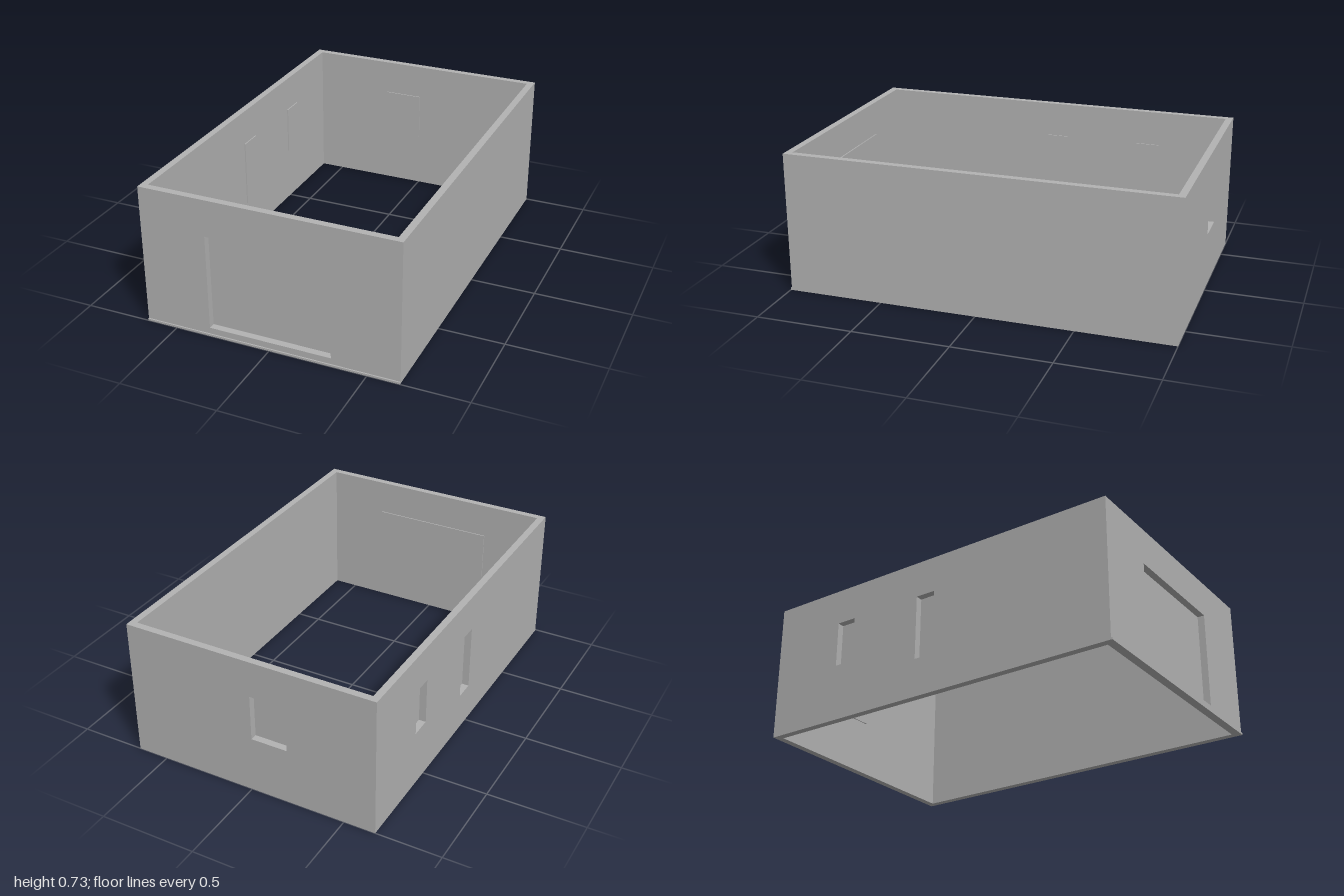
import * as THREE from 'three';

const W = 0.663, H = 0.73;          // half width, height
const BACK = -1, FRONT = 0.993;     // outer faces of the end walls
const T = 0.036, PANE = 0.006, LAP = 0.007;

export function createModel() {
  const model = new THREE.Group();
  model.name = 'walledEnclosure';
  const grey = new THREE.MeshStandardMaterial({ color: 0xb2b2b2 });
  grey.name = 'plain grey';

  // A wall lies in local x/y with its outer face towards local +z.
  // Each opening [x0, x1, y0, y1] is closed by a thin pane on the inner face.
  function wall(name, x0, x1, openings = []) {
    const group = new THREE.Group();
    group.name = name;
    const shape = new THREE.Shape([
      new THREE.Vector2(x0, 0), new THREE.Vector2(x1, 0),
      new THREE.Vector2(x1, H), new THREE.Vector2(x0, H),
    ]);
    for (const [a, b, c, d] of openings) {
      shape.holes.push(new THREE.Path([
        new THREE.Vector2(a, c), new THREE.Vector2(a, d),
        new THREE.Vector2(b, d), new THREE.Vector2(b, c),
      ]));
      const pane = new THREE.Mesh(
        new THREE.BoxGeometry(b - a + 2 * LAP, d - c + 2 * LAP, PANE), grey);
      pane.name = name + 'Pane';
      pane.position.set((a + b) / 2, (c + d) / 2, -T - PANE / 2);
      group.add(pane);
    }
    const geometry = new THREE.ExtrudeGeometry(shape, { depth: T, bevelEnabled: false });
    geometry.translate(0, 0, -T);
    const body = new THREE.Mesh(geometry, grey);
    body.name = name + 'Body';
    group.add(body);
    model.add(group);
    return group;
  }

  // Front wall with the wide door opening
  wall('frontWall', -W, W, [[-0.319, 0.317, 0.042, 0.54]]).position.z = FRONT;

  // Back wall with one window (local x is mirrored)
  const back = wall('backWall', -W, W, [[0.01, 0.2, 0.3, 0.54]]);
  back.position.z = BACK;
  back.rotation.y = Math.PI;

  // Right wall with two narrow windows (local x runs along +z)
  const right = wall('rightWall', BACK + T, FRONT - T, [
    [-0.598, -0.49, 0.3, 0.54],
    [-0.087, 0.021, 0.2, 0.54],
  ]);
  right.position.x = -W;
  right.rotation.y = -Math.PI / 2;

  // Plain left wall (local x runs along -z)
  const left = wall('leftWall', -FRONT + T, -BACK - T);
  left.position.x = W;
  left.rotation.y = Math.PI / 2;

  // Low sill along the foot of the front wall
  const sill = new THREE.Mesh(new THREE.BoxGeometry(2 * W, 0.01, 1 - FRONT), grey);
  sill.name = 'frontSill';
  sill.position.set(0, 0.005, (1 + FRONT) / 2);
  model.add(sill);

  return model;
}
